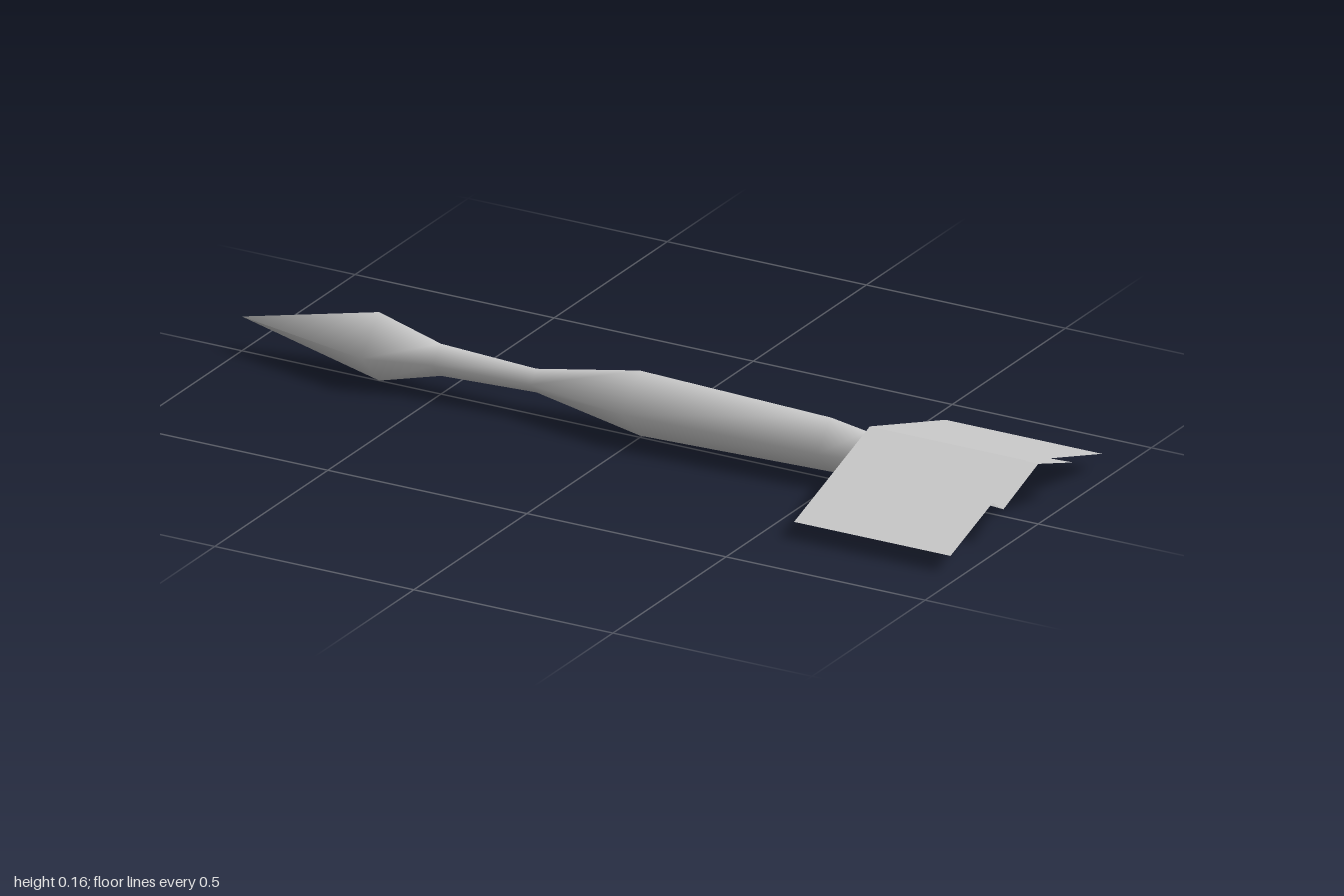
import * as THREE from 'three';

// Gabled sheet: a ridge along x with one sloping quad on each side.
// front and rear give [x, edge height, edge half-width].
function gable(ridgeY, front, rear, material, name) {
  const positions = [];
  for (const side of [1, -1]) {
    const a = [front[0], ridgeY, 0];
    const b = [front[0], front[1], side * front[2]];
    const c = [rear[0], rear[1], side * rear[2]];
    const d = [rear[0], ridgeY, 0];
    const corners = side > 0 ? [a, b, c, a, c, d] : [a, c, b, a, d, c];
    positions.push(...corners.flat());
  }
  const geometry = new THREE.BufferGeometry();
  geometry.setAttribute('position', new THREE.Float32BufferAttribute(positions, 3));
  geometry.computeVertexNormals();
  const mesh = new THREE.Mesh(geometry, material);
  mesh.name = name;
  return mesh;
}

export function createModel() {
  const model = new THREE.Group();
  model.name = 'dart';
  const grey = new THREE.MeshStandardMaterial({ color: 0xcccccc, side: THREE.DoubleSide });
  grey.name = 'light grey';

  // Four-sided body, from pointed nose to closed tail: [radius, x]
  const profile = [
    [0, -1], [0.081, -0.655], [0.038, -0.5], [0.028, -0.26],
    [0.077, 0], [0.064, 0.48], [0.05, 0.57], [0.04, 0.6], [0, 0.605],
  ].map(([r, x]) => new THREE.Vector2(r, x));
  const body = new THREE.Mesh(new THREE.LatheGeometry(profile, 4), grey);
  body.geometry.rotateZ(-Math.PI / 2);
  body.position.y = 0.082;
  body.name = 'body';
  model.add(body);

  // Wide tail fins, and the smaller tapered sheet beneath them
  model.add(gable(0.145, [0.577, 0.04, 0.335], [0.97, 0.04, 0.335], grey, 'tailFins'));
  model.add(gable(0.143, [0.58, 0.091, 0.1], [1, 0.091, 0.154], grey, 'innerTailFins'));
  return model;
}
